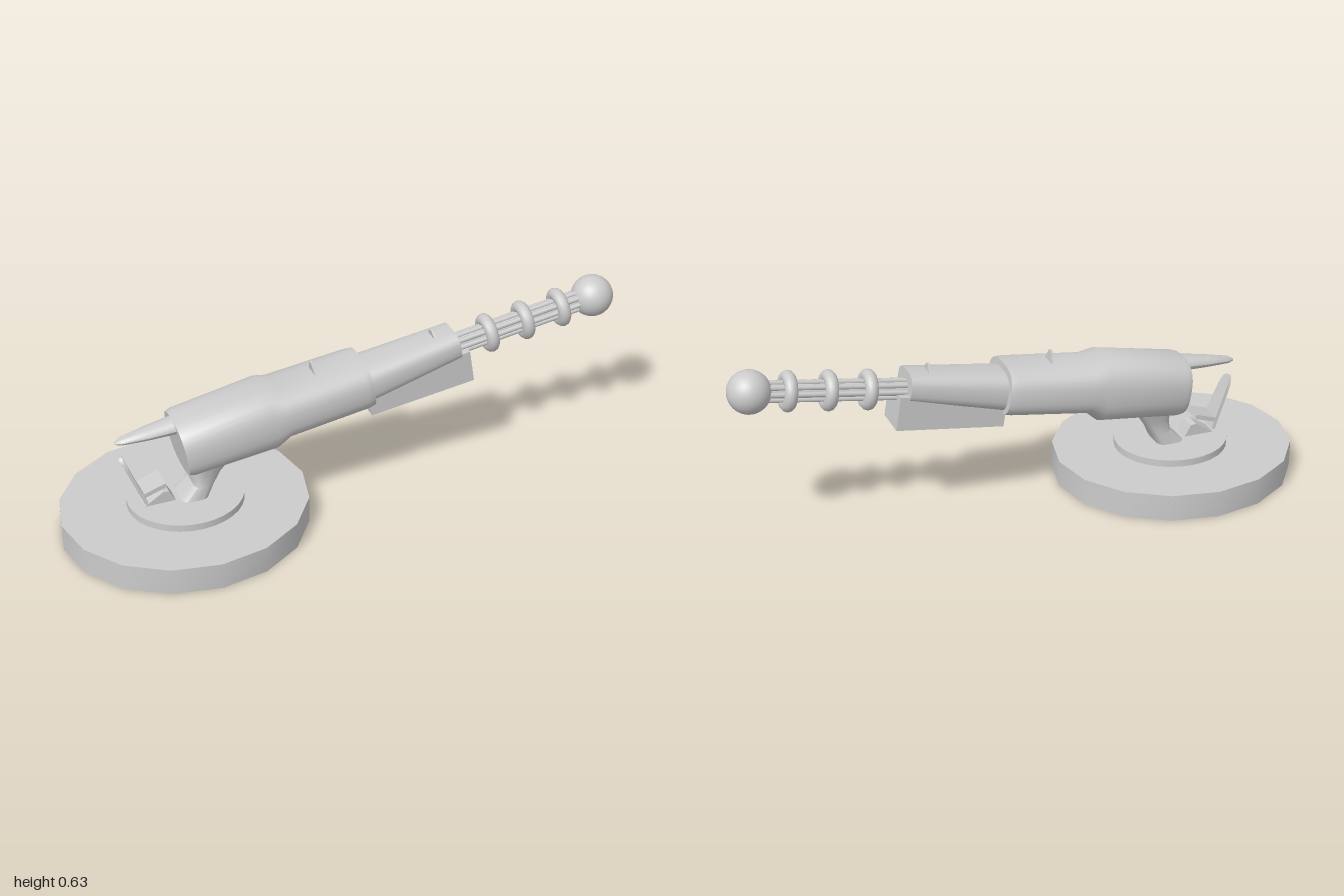
import * as THREE from 'three';
import { toCreasedNormals } from 'three/addons/utils/BufferGeometryUtils.js';

const material = new THREE.MeshStandardMaterial({ color: 0xcccccc, side: THREE.DoubleSide });

function add(parent, name, geometry, x = 0, y = 0, z = 0) {
  const mesh = new THREE.Mesh(geometry, material);
  mesh.name = name;
  mesh.position.set(x, y, z);
  parent.add(mesh);
  return mesh;
}

// Capped loft along x; each section is [x, top, bottom, halfWidth, squareness].
function loft(sections, sides = 24) {
  const pos = [], index = [];
  for (const [x, top, bottom, half, n = 2] of sections) {
    for (let j = 0; j < sides; j++) {
      const a = (j / sides) * Math.PI * 2;
      const c = Math.cos(a), s = Math.sin(a);
      const round = (v) => Math.sign(v) * Math.pow(Math.abs(v), 2 / n);
      pos.push(x, (top + bottom) / 2 + round(c) * (top - bottom) / 2, round(s) * half);
    }
  }
  const last = sections.length - 1;
  for (let i = 0; i < last; i++) {
    for (let j = 0; j < sides; j++) {
      const a = i * sides + j, b = i * sides + (j + 1) % sides;
      index.push(a, b, a + sides, b, b + sides, a + sides);
    }
  }
  for (let j = 1; j < sides - 1; j++) {
    index.push(0, j + 1, j, last * sides, last * sides + j, last * sides + j + 1);
  }
  const geometry = new THREE.BufferGeometry();
  geometry.setAttribute('position', new THREE.Float32BufferAttribute(pos, 3));
  geometry.setIndex(index);
  return toCreasedNormals(geometry, 0.6);
}

// Side profile in x/y given a width centred on z = 0.
function slab(points, width) {
  const shape = new THREE.Shape(points.map(([x, y]) => new THREE.Vector2(x, y)));
  const geometry = new THREE.ExtrudeGeometry(shape, { depth: width, bevelEnabled: false });
  return geometry.translate(0, 0, -width / 2);
}

export function createModel() {
  const model = new THREE.Group();
  model.name = 'gunTurret';

  // Sixteen-sided platform with a raised turntable
  const platform = new THREE.CylinderGeometry(0.425, 0.425, 0.095, 16);
  add(model, 'platform', toCreasedNormals(platform, 0.6), -0.575, 0.0475, 0).scale.z = 0.92;
  add(model, 'turntable', new THREE.CylinderGeometry(0.2, 0.2, 0.03, 32), -0.57, 0.105, 0).scale.z = 0.935;

  // Waisted pedestal leaning forward into the housing
  const pedestal = add(model, 'pedestal', loft([
    [0.11, 0.61, 0.505, 0.064, 4],
    [0.165, 0.55, 0.48, 0.057, 4],
    [0.21, 0.55, 0.45, 0.06, 3],
    [0.28, 0.56, 0.4, 0.085, 3],
  ]));
  pedestal.rotation.z = Math.PI / 2;

  // Operator seat
  const seat = new THREE.Group();
  seat.name = 'seat';
  model.add(seat);
  add(seat, 'seatMount', slab([[-0.73, 0.115], [-0.61, 0.115], [-0.635, 0.16], [-0.655, 0.163]], 0.06));
  add(seat, 'seatCushion', slab([[-0.72, 0.165], [-0.645, 0.19], [-0.65, 0.205], [-0.725, 0.18]], 0.085));
  const backShape = new THREE.Shape();
  backShape.moveTo(-0.042, 0);
  backShape.lineTo(0.042, 0);
  backShape.lineTo(0.03, 0.15);
  backShape.quadraticCurveTo(0.022, 0.195, 0, 0.195);
  backShape.quadraticCurveTo(-0.022, 0.195, -0.03, 0.15);
  const back = new THREE.ExtrudeGeometry(backShape, { depth: 0.012, bevelEnabled: false });
  back.rotateY(Math.PI / 2);
  add(seat, 'seatBack', back, -0.722, 0.135, 0).rotation.z = 0.38;

  // Everything on the elevated gun shares one tilted axis
  const gun = new THREE.Group();
  gun.name = 'gun';
  gun.position.set(-0.6, 0.32, 0);
  gun.rotation.z = 0.157;
  model.add(gun);

  add(gun, 'housing', loft([
    [0.01, 0.104, -0.098, 0.112, 2.6],
    [0.03, 0.108, -0.102, 0.12, 2.6],
    [0.323, 0.121, -0.114, 0.12, 2.6],
    [0.372, 0.098, -0.08, 0.12, 2.8],
    [0.655, 0.092, -0.082, 0.116, 2.8],
    [0.68, 0.09, -0.08, 0.11, 2.8],
  ], 32));
  add(gun, 'barrelShroud', loft([
    [0.66, 0.067, -0.07, 0.088, 3],
    [1.018, 0.068, -0.03, 0.072, 3],
  ], 32));
  add(gun, 'ammunitionBox', slab([[0.67, -0.118], [1.05, -0.124], [1.05, -0.005], [0.67, -0.005]], 0.126));

  // Tapered counterweight spike over the seat
  add(gun, 'rearSpike', loft([
    [-0.19, 0.09, 0.082, 0.006],
    [-0.17, 0.098, 0.075, 0.019],
    [-0.08, 0.103, 0.063, 0.034],
    [0.04, 0.106, 0.05, 0.046],
  ], 16));

  // Sight blades
  const blades = [[0.512, 0.085, 0.132], [0.946, 0.06, 0.09]];
  for (const [x, low, high] of blades) {
    const blade = new THREE.Shape([
      new THREE.Vector2(-0.036, low), new THREE.Vector2(0.036, low),
      new THREE.Vector2(0.007, high), new THREE.Vector2(-0.007, high),
    ]);
    const geometry = new THREE.ExtrudeGeometry(blade, { depth: 0.007, bevelEnabled: false });
    add(gun, 'sightBlade', geometry.rotateY(Math.PI / 2), x - 0.0035);
  }

  // Barrel core, surrounding rods, rings and ball muzzle
  const rod = (radius, sides) => new THREE.CylinderGeometry(radius, radius, 0.55, sides).rotateZ(Math.PI / 2);
  add(gun, 'barrelCore', rod(0.029, 16), 1.265);
  for (let i = 0; i < 8; i++) {
    const a = (i / 8) * Math.PI * 2;
    add(gun, 'barrelRod', rod(0.009, 8), 1.265, Math.cos(a) * 0.03, Math.sin(a) * 0.03);
  }
  for (const x of [1.145, 1.28, 1.417]) {
    add(gun, 'barrelRing', new THREE.TorusGeometry(0.047, 0.022, 12, 32).rotateY(Math.PI / 2), x);
  }
  add(gun, 'muzzleBall', new THREE.SphereGeometry(0.073, 32, 20), 1.545);

  return model;
}
